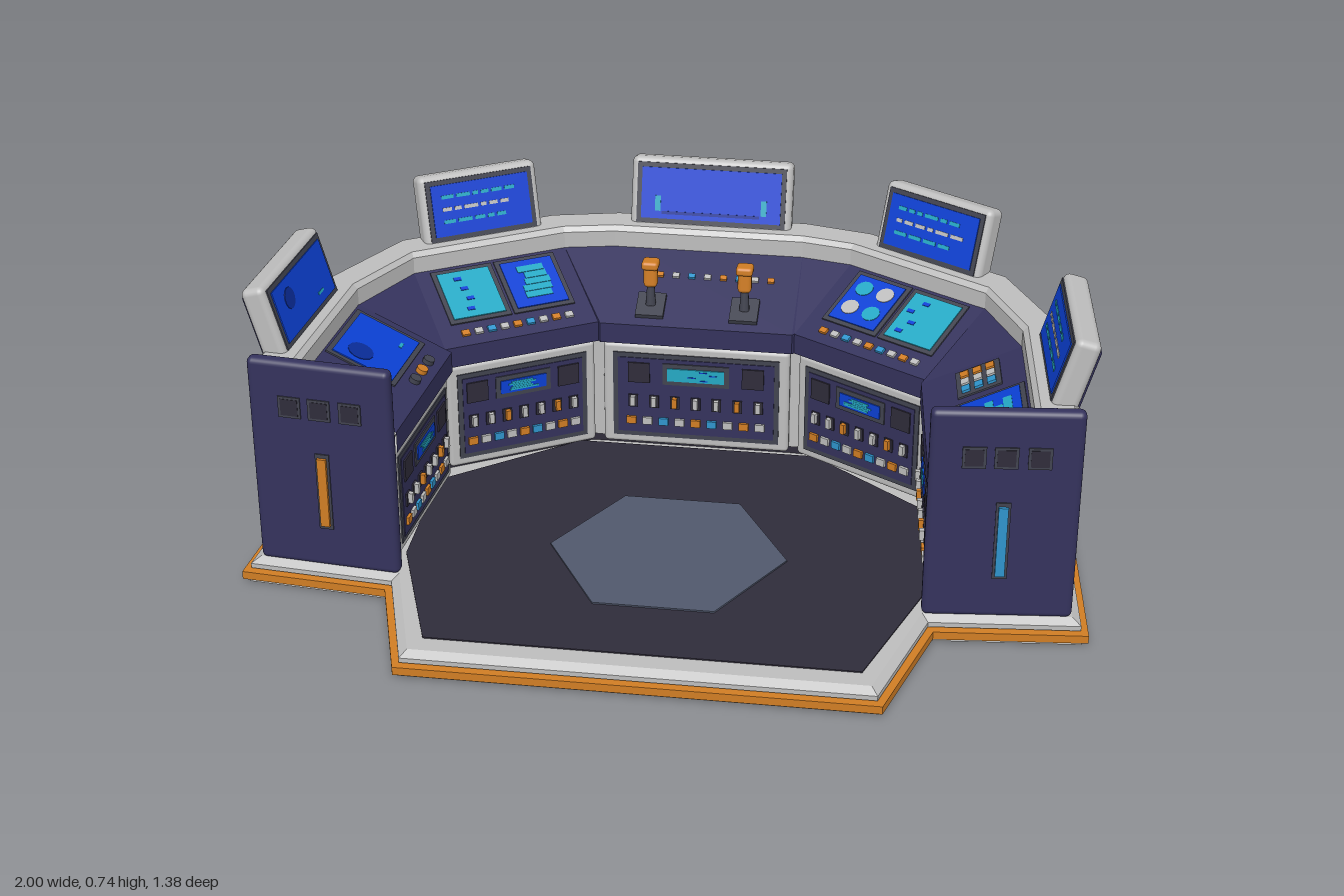
import * as THREE from 'three';
import { RoundedBoxGeometry } from 'three/addons/geometries/RoundedBoxGeometry.js';

const mat = (name, color) => Object.assign(new THREE.MeshStandardMaterial({ color }), { name });
const M = {
  grey: mat('light grey', 0xbdbdbd), navy: mat('navy', 0x34325c), dark: mat('dark floor', 0x2f2c3a),
  charcoal: mat('charcoal', 0x41434f), orange: mat('orange', 0xd07d24), blue: mat('screen blue', 0x0b40d4),
  deep: mat('deep blue', 0x0a2c98), cyan: mat('cyan', 0x24a8c4), sky: mat('sky blue', 0x2f94cc),
  slate: mat('slate', 0x50586c),
};

let seed = 7;
const rnd = () => (seed = (seed * 16807) % 2147483647) / 2147483647;
const pick = (i) => [M.orange, M.grey, M.sky, M.grey, M.orange, M.sky, M.grey][i % 7];

function add(parent, name, geo, m, x = 0, y = 0, z = 0) {
  const mesh = new THREE.Mesh(geo, m);
  mesh.name = name;
  mesh.position.set(x, y, z);
  parent.add(mesh);
  return mesh;
}
function group(parent, name, x = 0, y = 0, z = 0) {
  const g = new THREE.Group();
  g.name = name;
  g.position.set(x, y, z);
  parent.add(g);
  return g;
}
// box whose back lies at z
const plate = (p, name, m, w, h, x, y, z, t = 0.004) =>
  add(p, name, new THREE.BoxGeometry(w, h, t), m, x, y, z + t / 2);
const disc = (p, name, m, r, x, y, z, t = 0.002) =>
  add(p, name, new THREE.CylinderGeometry(r, r, t, 14), m, x, y, z + t / 2).rotateX(Math.PI / 2);

// row of small coloured buttons
function buttons(p, n, span, x, y, z, size = 0.02) {
  for (let i = 0; i < n; i++)
    plate(p, 'button', pick(i), size, size * 0.8, x + (n > 1 ? (i / (n - 1) - 0.5) * span : 0), y, z, 0.007);
}

// framed display with simple picture content
function screen(p, w, h, x, y, z, style) {
  const g = group(p, 'screen', x, y, z);
  const map = style === 'map';
  plate(g, 'bezel', M.charcoal, w + 0.024, h + 0.024, 0, 0, 0);
  plate(g, 'glass', map ? M.cyan : M.blue, w, h, 0, 0, 0.004, 0.003);
  const k = 0.007, t = 0.0015;
  if (style === 'text') {
    for (let r = 0; r < 3; r++) {
      let cx = -0.4 * w;
      while (cx < 0.25 * w) {
        const len = w * (0.05 + 0.1 * rnd());
        plate(g, 'text dash', r === 1 ? M.grey : M.cyan, len, h * 0.07, cx + len / 2, h * (0.26 - 0.24 * r), k, t);
        cx += len + w * 0.03;
      }
    }
  } else if (style === 'radar') {
    disc(g, 'radar disc', M.deep, Math.min(w, h) * 0.2, -w * 0.26, h * 0.14, k, t);
    plate(g, 'trace', M.cyan, w * 0.1, h * 0.05, w * 0.25, -h * 0.3, k, t);
  } else if (style === 'gauge') {
    for (const s of [-1, 1]) plate(g, 'gauge', M.cyan, w * 0.04, h * 0.3, s * w * 0.38, -h * 0.2, k, t);
    plate(g, 'base line', M.deep, w * 0.7, h * 0.06, 0, -h * 0.38, k, t);
  } else if (style === 'chart') {
    for (let i = 0; i < 5; i++)
      plate(g, 'chart patch', M.cyan, w * (0.35 + 0.3 * rnd()), h * 0.13, w * 0.2 * (rnd() - 0.5), h * (0.3 - 0.14 * i), k, t);
  } else if (style === 'dials') {
    for (let i = 0; i < 4; i++)
      disc(g, 'dial', i % 3 ? M.grey : M.cyan, w * 0.17, w * (i % 2 ? 0.23 : -0.23), h * (i < 2 ? 0.24 : -0.2), k, t);
  } else if (map) {
    for (let i = 0; i < 4; i++)
      plate(g, 'map patch', M.blue, w * 0.14, h * 0.07, w * (rnd() - 0.5) * 0.7, h * (0.33 - 0.22 * i), k, t);
  }
}

// modules from the model's -x end to its +x end: outer midpoint, turn, half width
const A = 30.5 * Math.PI / 180, B = 84.4 * Math.PI / 180;
const modules = [
  { x: -0.91, z: 0.075, r: B, hw: 0.208, mon: 0.36, back: 'text', top: 'radar' },
  { x: -0.58, z: -0.49, r: A, hw: 0.2, mon: 0.31, back: 'map', top: 'text' },
  { x: 0, z: -0.63, r: 0, hw: 0.24, mon: 0.41, back: 'radar', top: 'gauge' },
  { x: 0.58, z: -0.49, r: -A, hw: 0.2, mon: 0.31, back: 'radar', top: 'text' },
  { x: 0.91, z: 0.075, r: -B, hw: 0.208, mon: 0.36, back: 'text', top: 'text' },
];

// sweep a (depth, height) profile through the ends of all modules
function sweep(profile) {
  const rows = modules.flatMap((m) => [-m.hw, m.hw].map((s) => profile.map(([d, y]) =>
    new THREE.Vector3(s, y, d).applyAxisAngle(new THREE.Vector3(0, 1, 0), m.r).add(new THREE.Vector3(m.x, 0, m.z)))));
  const pts = [];
  for (let i = 0; i + 1 < rows.length; i++)
    for (let j = 0; j + 1 < profile.length; j++) {
      const a = rows[i][j], b = rows[i + 1][j], c = rows[i + 1][j + 1], d = rows[i][j + 1];
      pts.push(a, d, c, a, c, b);
    }
  const geo = new THREE.BufferGeometry().setFromPoints(pts);
  geo.computeVertexNormals();
  return geo;
}

// flat outline in (x, z) mirrored across x and extruded upwards
function slab(half, y, depth, opts = {}, k = 1) {
  const all = [...half, ...half.slice().reverse().map(([x, z]) => [-x, z])];
  const shape = new THREE.Shape(all.map(([x, z]) => new THREE.Vector2(x * k, -z * k)));
  return new THREE.ExtrudeGeometry(shape, { depth, bevelEnabled: false, ...opts }).rotateX(-Math.PI / 2).translate(0, y, 0);
}

function joystick(desk, x) {
  const g = group(desk, 'joystick', x, -0.08, 0);
  plate(g, 'joystick base', M.charcoal, 0.07, 0.075, 0, 0, 0, 0.012);
  const stick = group(g, 'stick', 0, 0, 0.01);
  stick.rotation.x = 1.1;
  add(stick, 'shaft', new THREE.CylinderGeometry(0.009, 0.013, 0.06, 10), M.charcoal, 0, 0.03, 0);
  add(stick, 'grip', new RoundedBoxGeometry(0.034, 0.06, 0.034, 2, 0.01), M.orange, 0, 0.08, 0);
  add(stick, 'grip head', new RoundedBoxGeometry(0.042, 0.022, 0.045, 2, 0.008), M.orange, 0, 0.11, 0.004);
}

function buildModule(root, m, i) {
  const g = group(root, 'consoleModule', m.x, 0, m.z);
  g.rotation.y = m.r;
  const w = m.hw * 2;

  // outer wall display
  const outer = group(g, 'outerDisplay');
  outer.rotation.y = Math.PI;
  add(outer, 'outer frame', new RoundedBoxGeometry(w - 0.02, 0.265, 0.024, 2, 0.01), M.grey, 0, 0.22, 0);
  plate(outer, 'outer inset', M.charcoal, w - 0.05, 0.24, 0, 0.22, 0.011);
  screen(outer, w - 0.09, 0.175, 0, 0.236, 0.0125, m.back);
  buttons(outer, 9, w - 0.14, 0, 0.117, 0.015, 0.018);
  plate(outer, 'light strip', M.cyan, m.mon - 0.03, 0.012, 0, 0.547, 0.011, 0.004);

  // inner lower control panel
  const front = group(g, 'lowerPanel', 0, 0, 0.288);
  add(front, 'panel frame', new RoundedBoxGeometry(w - 0.01, 0.28, 0.03, 2, 0.01), M.grey, 0, 0.22, 0.005);
  plate(front, 'panel inset', M.charcoal, w - 0.06, 0.235, 0, 0.22, 0.019);
  plate(front, 'panel face', M.navy, w - 0.085, 0.21, 0, 0.22, 0.022, 0.003);
  for (const s of [-1, 1]) plate(front, 'speaker', M.dark, 0.055, 0.055, s * w * 0.3, 0.285, 0.025);
  screen(front, w * 0.3, 0.035, 0, 0.285, 0.024, i === 2 ? 'map' : 'chart');
  for (let k = 0; k < 7; k++) {
    const x = (k / 6 - 0.5) * w * 0.66;
    plate(front, 'switch plate', M.dark, 0.024, 0.034, x, 0.205, 0.025);
    plate(front, 'switch', k % 3 === 2 ? M.orange : M.grey, 0.012, 0.026, x, 0.208, 0.028, 0.012);
  }
  buttons(front, 9, w * 0.68, 0, 0.15, 0.025, 0.024);

  // monitor leaning outwards above the rim
  const mon = group(g, 'monitor', 0, 0.64, 0);
  mon.rotation.x = -0.28;
  add(mon, 'monitor shell', new RoundedBoxGeometry(m.mon, 0.19, 0.06, 3, 0.016), M.grey);
  screen(mon, m.mon - 0.055, 0.13, 0, 0.004, 0.029, m.top);
  add(mon, 'monitor back', new RoundedBoxGeometry(m.mon - 0.03, 0.15, 0.012, 2, 0.005), M.navy, 0, 0, -0.03);

  // sloped desk controls
  const desk = group(g, 'deskControls', 0, 0.4775, 0.19);
  desk.rotation.x = -(Math.PI / 2 - Math.atan2(0.115, 0.26));
  if (i === 2) {
    for (const x of [-0.12, 0.115]) joystick(desk, x);
    buttons(desk, 8, 0.28, 0.03, 0.025, 0, 0.017);
  } else if (i === 1 || i === 3) {
    screen(desk, 0.135, 0.15, -0.083, 0.015, 0, i === 1 ? 'map' : 'dials');
    screen(desk, 0.135, 0.15, 0.083, 0.015, 0, i === 1 ? 'chart' : 'map');
    buttons(desk, 9, 0.27, 0, -0.105, 0, 0.02);
  } else {
    const left = i === 0;
    screen(desk, 0.2, 0.16, left ? 0.07 : 0.08, 0.015, 0, left ? 'radar' : 'chart');
    plate(desk, 'keypad', M.charcoal, 0.125, 0.11, -0.125, 0, 0);
    for (let r = 0; r < 3; r++) buttons(desk, 3, 0.07, -0.125, 0.032 - r * 0.032, 0.003, 0.026);
    if (left) for (let k = 0; k < 3; k++) disc(desk, 'knob', k === 1 ? M.orange : M.charcoal, 0.014, 0.02 + k * 0.05, -0.108, 0, 0.012);
    // end panel closing the console
    const s = left ? -1 : 1;
    const end = group(g, 'endPanel', s * 0.226, 0, 0.148);
    end.rotation.y = s * Math.PI / 2;
    add(end, 'end board', new RoundedBoxGeometry(0.345, 0.535, 0.036, 3, 0.014), M.navy, 0, 0.3225, 0);
    for (const x of [-0.072, 0, 0.075]) {
      plate(end, 'socket rim', M.charcoal, 0.054, 0.054, x, 0.475, 0.017);
      plate(end, 'socket', M.dark, 0.042, 0.042, x, 0.475, 0.02, 0.002);
    }
    plate(end, 'handle recess', M.charcoal, 0.034, 0.2, 0, 0.26, 0.017);
    plate(end, 'handle', left ? M.orange : M.sky, 0.022, 0.18, 0, 0.26, 0.02, 0.008);
  }
}

export function createModel() {
  const root = new THREE.Group();
  root.name = 'controlStation';

  // stepped platform
  const outline = [[0.25, -0.69], [0.44, -0.645], [0.785, -0.444], [0.95, -0.17], [1, 0.342], [0.645, 0.374], [0.553, 0.69]];
  add(root, 'platform underside', slab(outline, 0, 0.012, {}, 0.985), M.grey);
  add(root, 'platform trim', slab(outline, 0.008, 0.02), M.orange);
  add(root, 'platform edge', slab(outline, 0.031, 0.012,
    { bevelEnabled: true, bevelThickness: 0.013, bevelSize: 0.02, bevelOffset: -0.037, bevelSegments: 1 }), M.grey);
  add(root, 'floor', slab([[0.3, -0.35], [0.62, -0.1], [0.62, 0.25], [0.5, 0.605]], 0.05, 0.009), M.dark);
  const hex = add(root, 'floor hexagon', new THREE.CylinderGeometry(0.285, 0.285, 0.006, 6), M.slate, 0, 0.06, 0.166);
  hex.rotation.y = Math.PI / 6 + Math.PI / 3;

  // continuous console shell, one strip per colour
  add(root, 'outer plinth', sweep([[0.02, 0.05], [0.02, 0.092]]), M.dark);
  add(root, 'outer wall', sweep([[0.02, 0.09], [0, 0.09], [0, 0.375]]), M.grey);
  add(root, 'outer band', sweep([[0, 0.375], [0, 0.53]]), M.navy);
  add(root, 'rim', sweep([[0, 0.522], [-0.012, 0.53], [-0.012, 0.565], [0, 0.577], [0.075, 0.577], [0.087, 0.565], [0.087, 0.515]]), M.grey);
  add(root, 'desk', sweep([[0.06, 0.535], [0.32, 0.42], [0.32, 0.367], [0.285, 0.36]]), M.navy);
  add(root, 'inner wall', sweep([[0.285, 0.362], [0.285, 0.085], [0.265, 0.085]]), M.grey);
  add(root, 'inner plinth', sweep([[0.265, 0.088], [0.265, 0.05]]), M.dark);

  modules.forEach((m, i) => buildModule(root, m, i));
  return root;
}
